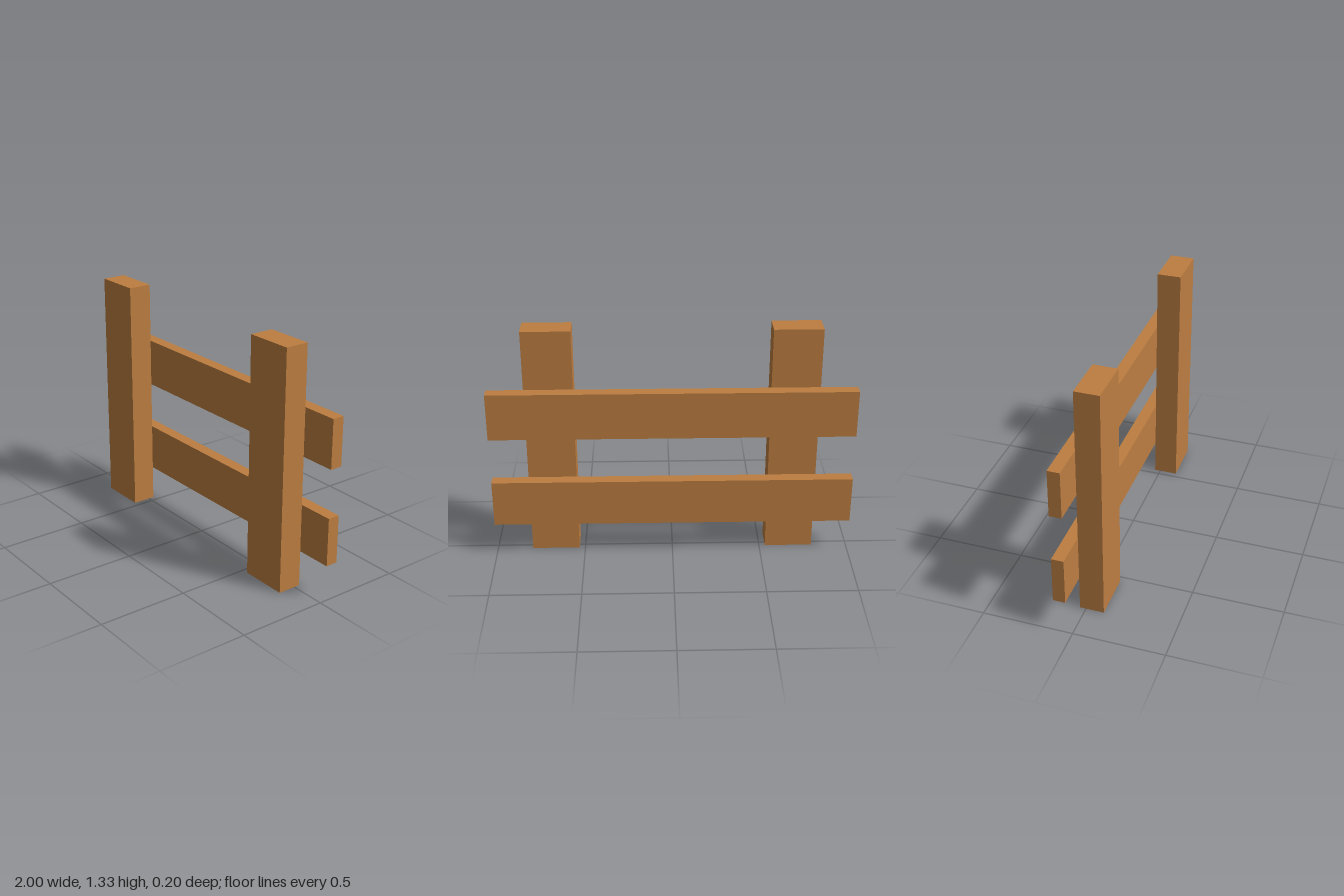
import * as THREE from 'three';

export function createModel() {
  const group = new THREE.Group();
  group.name = 'fence';
  const wood = new THREE.MeshStandardMaterial({ color: 0xbd7e41 });
  wood.name = 'wood';

  // A plank given by its size and centre
  const plank = (name, size, centre) => {
    const mesh = new THREE.Mesh(new THREE.BoxGeometry(...size), wood);
    mesh.name = name;
    mesh.position.set(...centre);
    group.add(mesh);
  };

  // Upright posts at the front
  for (const [name, side] of [['leftPost', 1], ['rightPost', -1]]) {
    plank(name, [0.2667, 1.3333, 0.1333], [side * 0.6667, 0.6667, 0.0333]);
  }

  // Horizontal rails fixed to the back of the posts
  for (const [name, y] of [['lowerRail', 0.3333], ['upperRail', 0.8667]]) {
    plank(name, [2, 0.2667, 0.0667], [0, y, -0.0667]);
  }

  return group;
}
